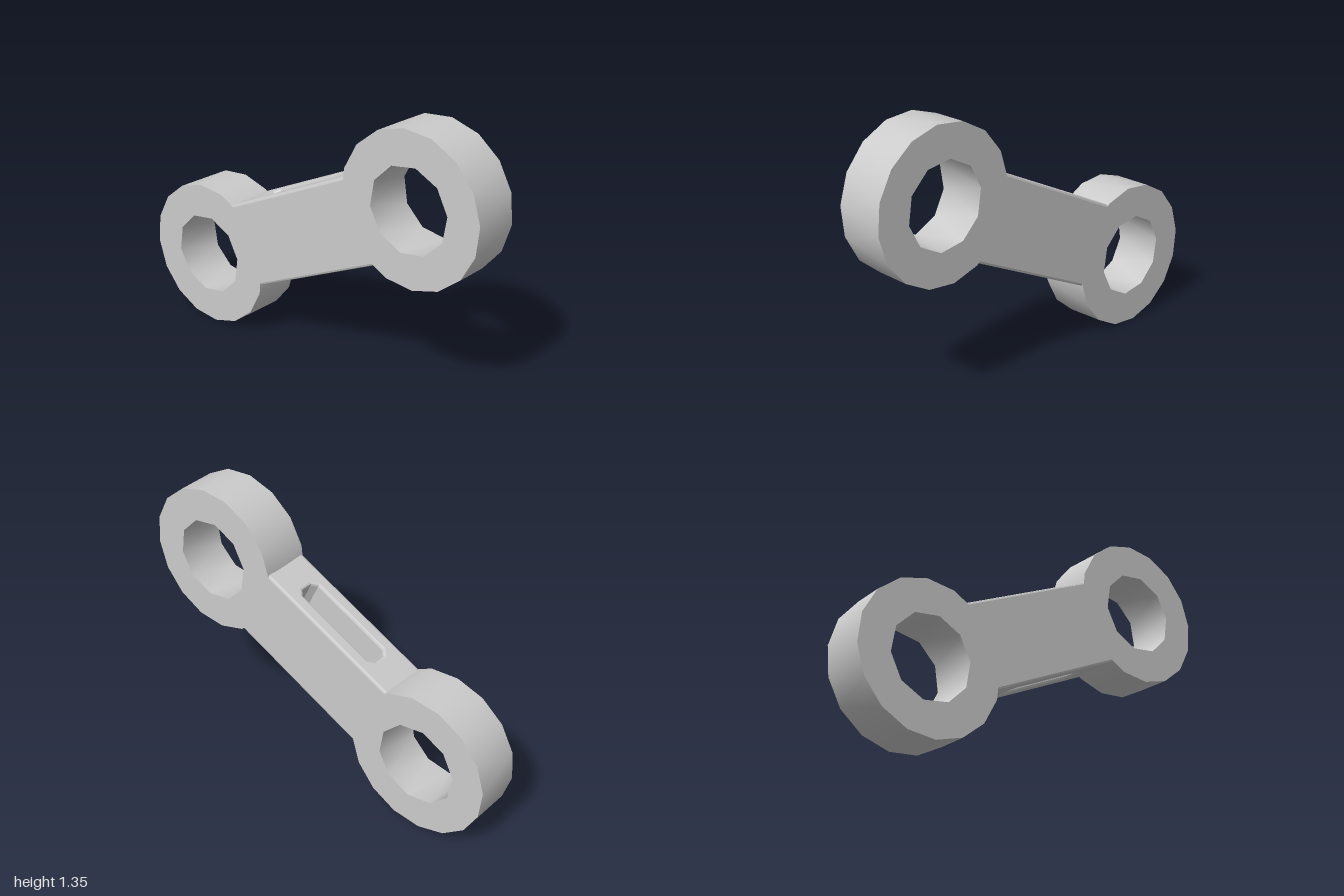
import * as THREE from 'three';

const material = new THREE.MeshStandardMaterial({ color: 0xcccccc });
const HALF = 0.124;            // half thickness
const ANGLE = Math.atan2(0.6, 1.255);

// Regular polygon corners, counter-clockwise
function polygon(radius, sides, turn) {
  return Array.from({ length: sides }, (_, i) => {
    const a = ((i + turn) / sides) * Math.PI * 2;
    return new THREE.Vector2(Math.cos(a) * radius, Math.sin(a) * radius);
  });
}

// Wall between a front polygon and a back polygon turned by half a step,
// shaded smoothly; sign is 1 facing outwards and -1 facing inwards
function wall(radius, sides, turn, sign) {
  const positions = [], normals = [], index = [];
  [[HALF, turn], [-HALF, turn + 0.5]].forEach(([z, t]) => {
    polygon(radius, sides, t).forEach((p) => {
      positions.push(p.x, p.y, z);
      normals.push((sign * p.x) / radius, (sign * p.y) / radius, 0);
    });
  });
  for (let i = 0; i < sides; i++) {
    const j = (i + 1) % sides;
    const triangles = [[i, sides + i, j], [j, sides + i, sides + j]];
    triangles.forEach(([a, b, c]) => (sign > 0 ? index.push(a, b, c) : index.push(a, c, b)));
  }
  const geometry = new THREE.BufferGeometry();
  geometry.setAttribute('position', new THREE.Float32BufferAttribute(positions, 3));
  geometry.setAttribute('normal', new THREE.Float32BufferAttribute(normals, 3));
  geometry.setIndex(index);
  return geometry;
}

// Flat annular face
function face(outer, inner, turn, z) {
  const shape = new THREE.Shape(polygon(outer, 16, turn));
  shape.holes.push(new THREE.Path(polygon(inner, 10, turn).reverse()));
  const geometry = new THREE.ShapeGeometry(shape);
  if (z < 0) geometry.rotateY(Math.PI).scale(1, 1, 1);
  return geometry.translate(0, 0, z);
}

function ring(name, x, y) {
  const outer = 0.374, inner = 0.21, turn = 0.25;
  const group = new THREE.Group();
  group.name = name;
  const add = (part, geometry) => {
    const mesh = new THREE.Mesh(geometry, material);
    mesh.name = part;
    group.add(mesh);
  };
  add('outerWall', wall(outer, 16, turn, 1));
  add('boreWall', wall(inner, 10, turn, -1));
  add('frontFace', face(outer, inner, turn, HALF));
  // turning about y mirrors the angles, so a quarter step lands on the back corners
  add('backFace', face(outer, inner, turn, -HALF));
  group.position.set(x, y, 0);
  return group;
}

// Rectangle with cut corners
function cutRectangle(w, h, c) {
  return [
    [w - c, -h], [w, -h + c], [w, h - c], [w - c, h],
    [-w + c, h], [-w, h - c], [-w, -h + c], [-w + c, -h],
  ].map(([x, y]) => new THREE.Vector2(x, y));
}

// Slotted arm, extruded across its width with softened edges
function arm() {
  const bevel = 0.012, halfWidth = 0.212, w = 0.43;
  const shape = new THREE.Shape([
    new THREE.Vector2(-w, -HALF), new THREE.Vector2(w, -HALF),
    new THREE.Vector2(w, HALF), new THREE.Vector2(-w, HALF),
  ]);
  shape.holes.push(new THREE.Path(cutRectangle(0.243, 0.056, 0.026).reverse()));
  const depth = 2 * (halfWidth - bevel);
  const geometry = new THREE.ExtrudeGeometry(shape, {
    depth, bevelEnabled: true, bevelSize: bevel, bevelThickness: bevel,
    bevelOffset: -bevel, bevelSegments: 2,
  });
  geometry.translate(0, 0, -depth / 2).rotateX(-Math.PI / 2);
  const mesh = new THREE.Mesh(geometry, material);
  mesh.name = 'slottedArm';
  mesh.position.y = 0.675;
  mesh.rotation.z = ANGLE;
  return mesh;
}

export function createModel() {
  const model = new THREE.Group();
  model.name = 'linkArm';
  model.add(ring('lowerRing', -0.628, 0.374), ring('upperRing', 0.628, 0.975), arm());
  return model;
}
